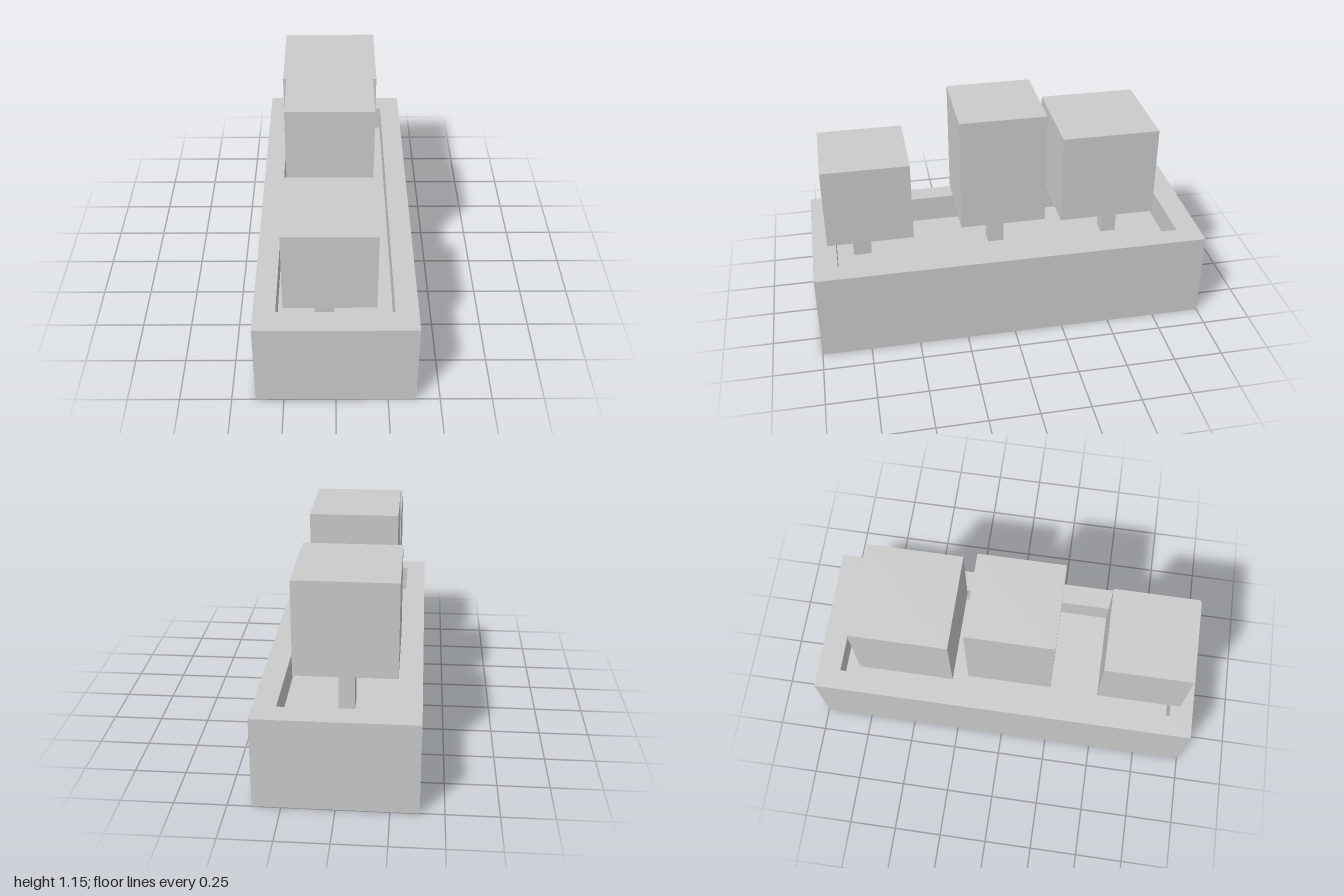
import * as THREE from 'three';

const material = new THREE.MeshStandardMaterial({ color: 0xcccccc, flatShading: true });
const HEIGHT = 0.46, SOIL = 0.32;

// Box given by its limits on each axis
function box(name, [x0, x1], [y0, y1], [z0, z1]) {
  const mesh = new THREE.Mesh(new THREE.BoxGeometry(x1 - x0, y1 - y0, z1 - z0), material);
  mesh.position.set((x0 + x1) / 2, (y0 + y1) / 2, (z0 + z1) / 2);
  mesh.name = name;
  return mesh;
}

// Rectangle on the ground plan (shape y = -z)
function rectangle(Type, x0, x1, z0, z1) {
  return new Type([[x0, -z1], [x1, -z1], [x1, -z0], [x0, -z0]].map(p => new THREE.Vector2(...p)));
}

// Square-cut tree: trunk from the soil, block of leaves on top
function tree(name, { crown, trunk, taper = 1 }) {
  const group = new THREE.Group();
  group.name = name;
  const stem = box('trunk', trunk.x, [SOIL, crown.y[0] + 0.005], trunk.z);
  const p = stem.geometry.attributes.position;
  for (let i = 0; i < p.count; i++) {
    if (p.getY(i) < 0) p.setXYZ(i, p.getX(i) * taper, p.getY(i), p.getZ(i) * taper);
  }
  stem.geometry.computeVertexNormals();
  group.add(stem, box('foliage', crown.x, crown.y, crown.z));
  return group;
}

export function createModel() {
  const model = new THREE.Group();
  model.name = 'planterWithTrees';

  // Planter walls with a rectangular opening
  const outline = rectangle(THREE.Shape, -0.385, 0.385, -1, 1);
  outline.holes.push(rectangle(THREE.Path, -0.28, 0.275, -0.88, 0.88));
  const wallGeometry = new THREE.ExtrudeGeometry(outline, { depth: HEIGHT, bevelEnabled: false });
  wallGeometry.rotateX(-Math.PI / 2);
  const walls = new THREE.Mesh(wallGeometry, material);
  walls.name = 'planterWalls';

  // Soil filling the opening up to below the rim
  model.add(walls, box('soil', [-0.28, 0.275], [0, SOIL], [-0.88, 0.88]));

  model.add(
    tree('frontTree', {
      crown: { x: [-0.243, 0.188], y: [0.528, 0.943], z: [0.488, 0.922] },
      trunk: { x: [-0.105, -0.003], z: [0.694, 0.8] },
      taper: 0.86,
    }),
    tree('middleTree', {
      crown: { x: [-0.243, 0.188], y: [0.556, 1.147], z: [-0.19, 0.243] },
      trunk: { x: [-0.083, -0.003], z: [-0.01, 0.075] },
    }),
    tree('backTree', {
      crown: { x: [-0.272, 0.216], y: [0.556, 1.026], z: [-0.757, -0.268] },
      trunk: { x: [-0.065, 0.015], z: [-0.63, -0.55] },
    }),
  );
  return model;
}
